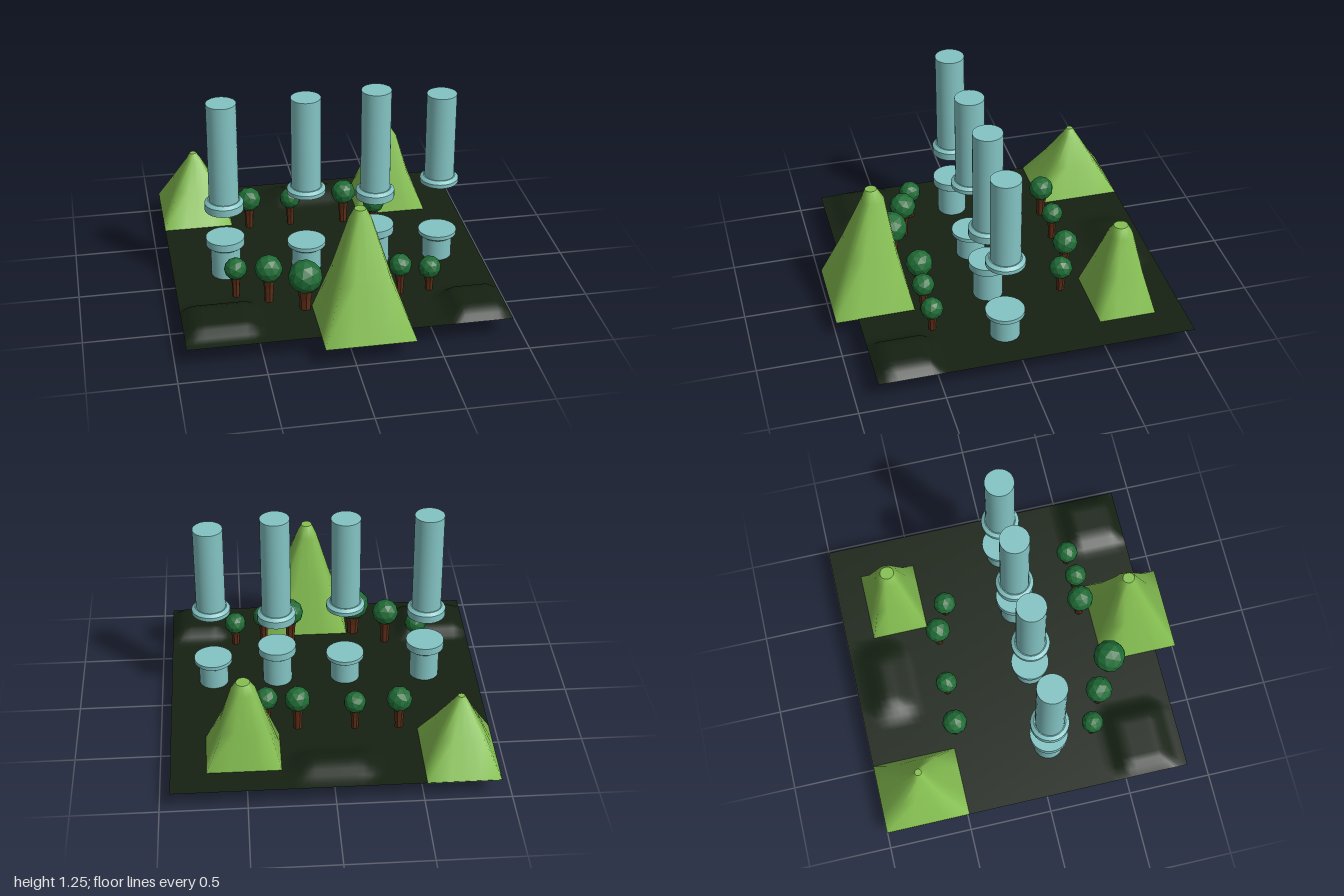
import * as THREE from 'three';

const mat = (color, opts = {}) => new THREE.MeshStandardMaterial({ color, ...opts });
const stone = mat(0x84c4c4);
const grass = mat(0x86c052);
const soil = mat(0x152112, { side: THREE.DoubleSide });
const leaf = mat(0x1f6b35, { flatShading: true });
const bark = mat(0x5c2d17, { flatShading: true });

function mesh(name, geometry, material) {
  const m = new THREE.Mesh(geometry, material);
  m.name = name;
  return m;
}

// Thin ground sheet with three low mounds: [x0, x1, z0, z1, ramp width]
function makeGround() {
  const mounds = [
    [-0.87, -0.56, 0.5, 0.74, 0.07],
    [0.64, 0.87, 0.56, 0.8, 0.065],
    [-0.14, 0.14, -0.84, -0.78, 0.13],
  ];
  const g = new THREE.PlaneGeometry(1.87, 1.87, 48, 48);
  g.rotateX(-Math.PI / 2);
  g.translate(0, 0.125, -0.065);
  const p = g.attributes.position;
  for (let i = 0; i < p.count; i++) {
    const x = p.getX(i), z = p.getZ(i);
    let h = 0;
    for (const [x0, x1, z0, z1, ramp] of mounds) {
      const d = Math.hypot(Math.max(x0 - x, 0, x - x1), Math.max(z0 - z, 0, z - z1));
      h = Math.max(h, 0.055 * Math.max(0, 1 - d / ramp));
    }
    p.setY(i, 0.125 + h);
  }
  g.computeVertexNormals();
  return mesh('ground', g, soil);
}

// Hill lofted from a rectangular foot to a round top; rings: [y, x0, x1, z0, z1, roundness]
function makeHill(rings) {
  const N = 16, pos = [], idx = [];
  const addRing = ([y, x0, x1, z0, z1, round]) => {
    const start = pos.length / 3;
    for (let i = 0; i < N; i++) {
      const a = (i / N) * Math.PI * 2, c = Math.cos(a), s = Math.sin(a);
      const k = THREE.MathUtils.lerp(1 / Math.max(Math.abs(c), Math.abs(s)), 1, round);
      pos.push((x0 + x1) / 2 + (c * k * (x1 - x0)) / 2, y, (z0 + z1) / 2 + (s * k * (z1 - z0)) / 2);
    }
    return start;
  };
  const addCap = (ring, up) => {
    const s = addRing(ring), centre = pos.length / 3;
    pos.push((ring[1] + ring[2]) / 2, ring[0], (ring[3] + ring[4]) / 2);
    for (let i = 0; i < N; i++) {
      const a = s + i, b = s + ((i + 1) % N);
      idx.push(centre, up ? b : a, up ? a : b);
    }
  };
  const starts = rings.map(addRing);
  for (let r = 0; r < rings.length - 1; r++) {
    for (let i = 0; i < N; i++) {
      const j = (i + 1) % N, lo = starts[r], hi = starts[r + 1];
      idx.push(lo + i, hi + i, lo + j, lo + j, hi + i, hi + j);
    }
  }
  addCap(rings[0], false);
  addCap(rings[rings.length - 1], true);
  const g = new THREE.BufferGeometry();
  g.setAttribute('position', new THREE.Float32BufferAttribute(pos, 3));
  g.setIndex(idx);
  g.computeVertexNormals();
  return mesh('hill', g, grass);
}

const cylinder = (name, rTop, rBottom, y0, y1) => {
  const g = new THREE.CylinderGeometry(rTop, rBottom, y1 - y0, 32);
  g.translate(0, (y0 + y1) / 2, 0);
  return mesh(name, g, stone);
};

// Broken column: a floating shaft with a foot collar above a capped stump
function makeColumn({ x, top, collar, collarH, cap, capH, base }) {
  const R = 0.088, C = 0.115, bevel = 0.016;
  const column = new THREE.Group();
  column.name = 'column';
  column.add(
    cylinder('upperShaft', R, R, collar + collarH, top),
    cylinder('upperCollar', C, C, collar, collar + collarH),
    cylinder('upperCollarBevel', R + 0.006, C, collar + collarH, collar + collarH + bevel),
    cylinder('stump', R, R, base, cap - capH),
    cylinder('stumpCap', C, C, cap - capH, cap),
    cylinder('stumpCapBevel', C, R + 0.006, cap - capH - bevel, cap - capH),
  );
  column.position.set(x, 0, 0.072);
  return column;
}

// Tree of unit size, scaled per copy
function makeTree([x, z, y, scale], i) {
  const tree = new THREE.Group();
  tree.name = 'tree';
  const profile = [[0, 0], [0.024, 0], [0.031, 0.02], [0.033, 0.12], [0.036, 0.19], [0.05, 0.27]]
    .map(([r, h]) => new THREE.Vector2(r, h));
  const crown = mesh('crown', new THREE.IcosahedronGeometry(0.1, 1), leaf);
  crown.position.y = 0.335;
  tree.add(mesh('trunk', new THREE.LatheGeometry(profile, 7), bark), crown);
  tree.position.set(x, y, z);
  tree.rotation.y = i * 0.9;
  tree.scale.setScalar(scale);
  return tree;
}

export function createModel() {
  const model = new THREE.Group();
  model.name = 'landscape';
  model.add(makeGround());

  const hills = [
    [[0.122, -0.175, 0.345, 0.53, 1, 0], [0.45, -0.085, 0.235, 0.585, 0.885, 0.35],
      [0.77, 0.005, 0.135, 0.635, 0.77, 0.8], [0.84, 0.035, 0.1, 0.675, 0.745, 1]],
    [[0.122, 0.3, 0.73, -0.83, -0.49, 0], [0.36, 0.365, 0.645, -0.785, -0.545, 0.35],
      [0.58, 0.43, 0.58, -0.74, -0.6, 0.8], [0.635, 0.465, 0.545, -0.71, -0.625, 1]],
    [[0.122, -0.935, -0.51, -1, -0.49, 0], [0.32, -0.85, -0.585, -0.885, -0.61, 0.3],
      [0.49, -0.765, -0.67, -0.785, -0.695, 0.8], [0.535, -0.74, -0.7, -0.76, -0.72, 1]],
  ];
  hills.forEach((rings) => model.add(makeHill(rings)));

  // Tall stumps poke through the ground, short ones end flush with it
  const tall = { collar: 0.56, collarH: 0.046, cap: 0.372, capH: 0.046, base: 0.05 };
  const short = { collar: 0.63, collarH: 0.024, cap: 0.3, capH: 0.024, base: 0.121 };
  [
    { x: -0.617, top: 1.24, ...tall },
    { x: -0.128, top: 1.237, ...short },
    { x: 0.287, top: 1.252, ...tall },
    { x: 0.676, top: 1.198, ...short },
  ].forEach((c) => model.add(makeColumn(c)));

  // Trees: [x, z, foot height, scale]
  [
    [-0.405, -0.46, 0.065, 0.76], [-0.145, -0.455, 0.085, 0.66],
    [0.19, -0.435, 0.075, 0.76], [0.37, -0.355, 0.05, 0.7],
    [-0.592, 0.35, 0.085, 0.67], [-0.41, 0.435, 0.065, 0.82],
    [-0.215, 0.55, 0, 1], [0.188, 0.465, 0.07, 0.82],
    [0.357, 0.48, 0.085, 0.68], [0.535, 0.47, 0.05, 0.67],
  ].forEach((t, i) => model.add(makeTree(t, i)));

  return model;
}
